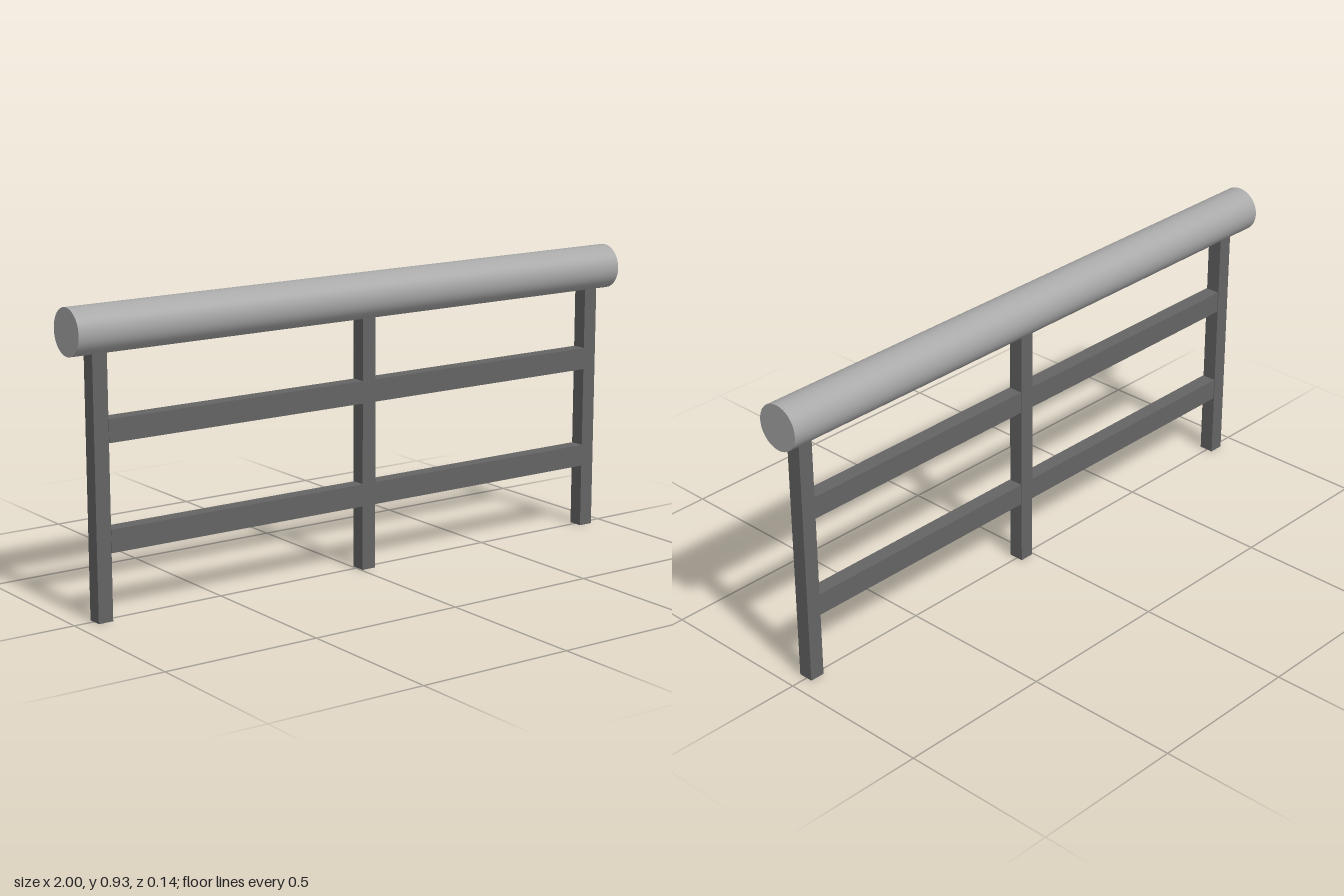
import * as THREE from 'three';

export function createModel() {
  const model = new THREE.Group();
  model.name = 'railing';

  const lightGrey = new THREE.MeshStandardMaterial({ color: 0xa8a8a8 });
  lightGrey.name = 'light grey';
  const darkGrey = new THREE.MeshStandardMaterial({ color: 0x646464 });
  darkGrey.name = 'dark grey';

  function add(name, geometry, material, x, y, z) {
    const mesh = new THREE.Mesh(geometry, material);
    mesh.name = name;
    mesh.position.set(x, y, z);
    model.add(mesh);
    return mesh;
  }

  // Round top bar lying along x
  const bar = new THREE.CylinderGeometry(0.071, 0.071, 2, 48);
  bar.rotateZ(Math.PI / 2);
  add('topBar', bar, lightGrey, 0, 0.859, 0);

  // Square posts, their tops sunk slightly into the bar
  const postHeight = 0.8;
  const postSize = 0.048;
  const posts = { rightPost: -0.911, middlePost: 0.029, leftPost: 0.921 };
  for (const [name, x] of Object.entries(posts)) {
    const post = new THREE.BoxGeometry(postSize, postHeight, postSize);
    add(name, post, darkGrey, x, postHeight / 2, 0.004);
  }

  // Two rails spanning between the outer posts, just proud of their front
  const start = posts.rightPost + postSize / 2;
  const end = posts.leftPost - postSize / 2;
  const rails = { lowerRail: 0.24, upperRail: 0.565 };
  for (const [name, y] of Object.entries(rails)) {
    const rail = new THREE.BoxGeometry(end - start, 0.07, 0.048);
    add(name, rail, darkGrey, (start + end) / 2, y, 0.006);
  }

  return model;
}
